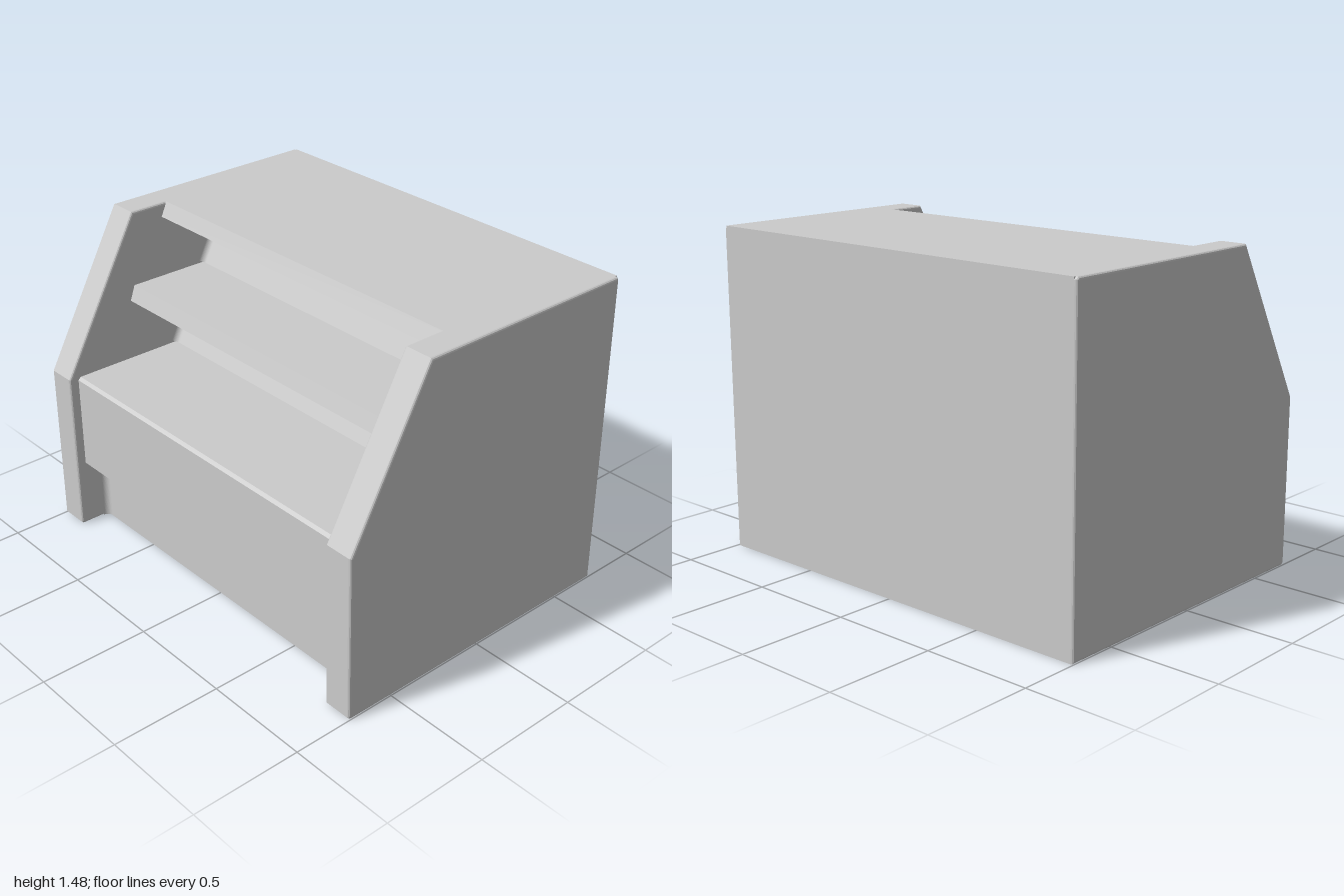
import * as THREE from 'three';

const material = new THREE.MeshStandardMaterial({ color: 0xcccccc });
const INNER = 0.86;   // half width between the side panels
const BURIED = 0.985; // half width of parts that run into the side panels
const TOP = 1.475;

// z of the sloping display back at height y
const slopeZ = (y) => 0.135 - 0.5 * (y - 0.77);

// Extrudes a side profile of [z, y] points along x, centred on x = 0
function profile(name, points, width, bevel = 0) {
  const shape = new THREE.Shape(points.map(([z, y]) => new THREE.Vector2(z, y)));
  const geometry = new THREE.ExtrudeGeometry(shape, {
    depth: width - 2 * bevel,
    bevelEnabled: bevel > 0,
    bevelSize: bevel,
    bevelThickness: bevel,
    bevelOffset: -bevel,
    bevelSegments: 3,
  });
  geometry.translate(0, 0, bevel - width / 2);
  geometry.rotateY(-Math.PI / 2);
  const mesh = new THREE.Mesh(geometry, material);
  mesh.name = name;
  return mesh;
}

// Concave fillet where a recessed panel meets a side panel, from top to bottom [z, y]
function cove(name, [z0, y0], [z1, y1], side, r = 0.03) {
  const shape = new THREE.Shape();
  shape.moveTo(0, 0);
  shape.lineTo(r, 0);
  shape.absarc(r, r, r, -Math.PI / 2, -Math.PI, true);
  shape.lineTo(0, 0);
  const down = new THREE.Vector3(0, y1 - y0, z1 - z0);
  const depth = down.length();
  down.normalize();
  const geometry = new THREE.ExtrudeGeometry(shape, { depth, bevelEnabled: false, curveSegments: 6 });
  const across = new THREE.Vector3(-side, 0, 0);
  const normal = new THREE.Vector3(0, down.z, -down.y);
  const basis = side < 0
    ? new THREE.Matrix4().makeBasis(across, normal, down)
    : new THREE.Matrix4().makeBasis(normal, across, down);
  basis.setPosition(side * INNER, y0, z0);
  geometry.applyMatrix4(basis);
  const mesh = new THREE.Mesh(geometry, material);
  mesh.name = name;
  return mesh;
}

export function createModel() {
  const model = new THREE.Group();
  model.name = 'displayCounter';

  // Body: recessed plinth, front panel, counter top and sloping display back
  model.add(profile('cabinetBody', [
    [-0.73, 0], [0.58, 0], [0.58, 0.322], [0.685, 0.322], [0.685, 0.757], [0.672, 0.77],
    [slopeZ(0.77), 0.77], [slopeZ(TOP), TOP], [-0.73, TOP],
  ], 2 * BURIED));

  // Middle shelf and top board, both with a sloping front edge
  model.add(profile('middleShelf', [
    [slopeZ(1.06) - 0.08, 1.055], [0.375, 1.055], [0.35, 1.125], [slopeZ(1.125) - 0.05, 1.125],
  ], 2 * BURIED));
  model.add(profile('topBoard', [
    [slopeZ(1.41) - 0.08, 1.41], [0.18, 1.41], [0.15, TOP], [slopeZ(TOP) - 0.05, TOP],
  ], 2 * BURIED));

  // Side panels with softened edges, and fillets in the recesses
  for (const side of [1, -1]) {
    const prefix = side > 0 ? 'left' : 'right';
    const panel = profile(prefix + 'SidePanel', [
      [-0.73, 0], [0.72, 0], [0.73, 0.01], [0.73, 0.77], [0.34, TOP], [-0.72, TOP], [-0.73, TOP - 0.01],
    ], 0.14, 0.012);
    panel.position.x = side * 0.93;
    model.add(panel);
    model.add(cove(prefix + 'PlinthFillet', [0.58, 0.322], [0.58, 0], side));
    for (const [top, bottom] of [[1.41, 1.125], [1.055, 0.77]]) {
      model.add(cove(prefix + 'DisplayFillet', [slopeZ(top), top], [slopeZ(bottom), bottom], side));
    }
  }
  return model;
}
